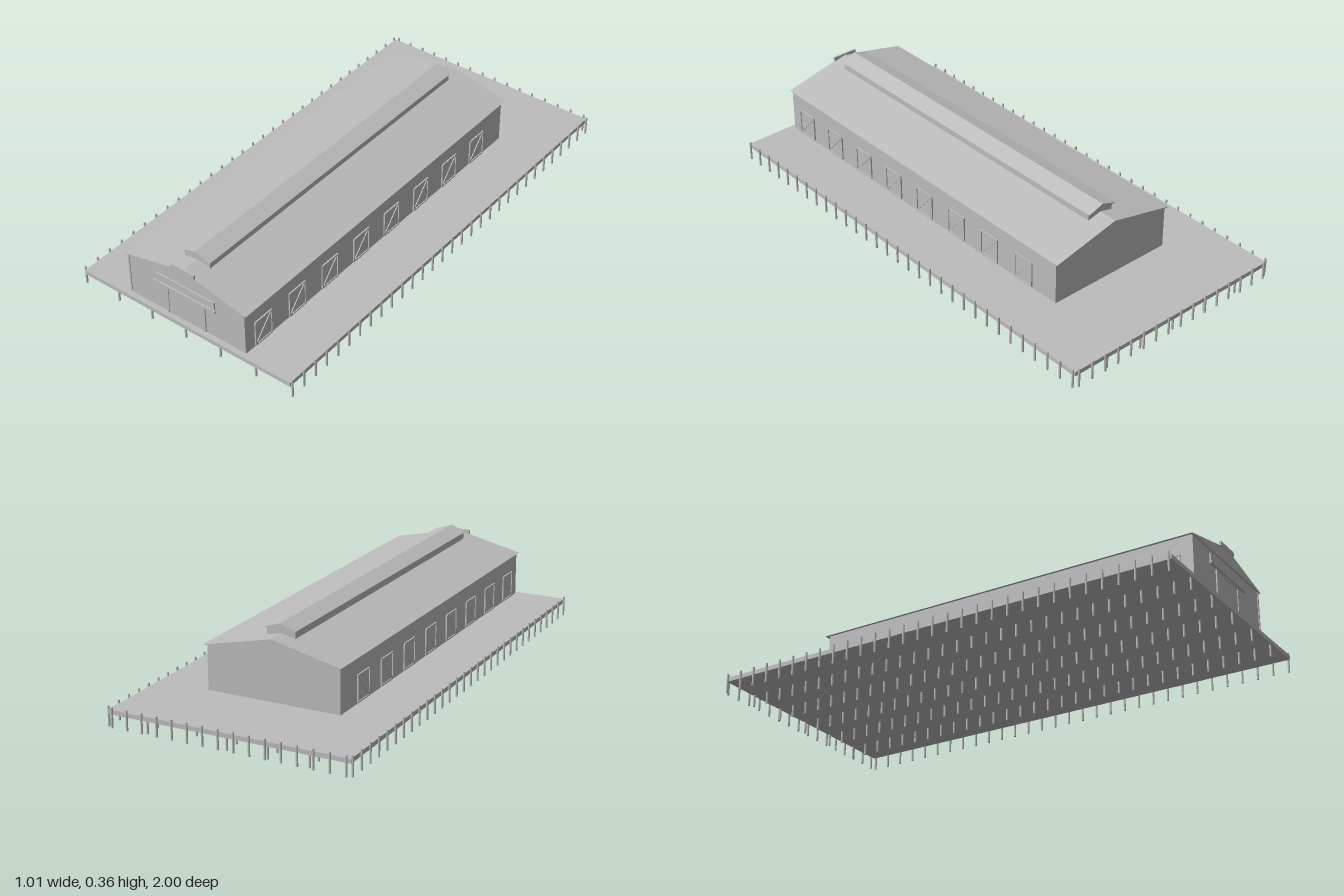
import * as THREE from 'three';
import { mergeGeometries } from 'three/addons/utils/BufferGeometryUtils.js';

export function createModel() {
  const model = new THREE.Group();
  model.name = 'pierShed';
  const grey = new THREE.MeshStandardMaterial({ color: 0xbcbcbc });
  grey.name = 'plain grey';

  const add = (name, geometry, parent = model) => {
    const mesh = new THREE.Mesh(geometry, grey);
    mesh.name = name;
    parent.add(mesh);
    return mesh;
  };
  // Box given by its limits on each axis
  const box = (x0, x1, y0, y1, z0, z1) =>
    new THREE.BoxGeometry(x1 - x0, y1 - y0, z1 - z0)
      .translate((x0 + x1) / 2, (y0 + y1) / 2, (z0 + z1) / 2);
  // Solid gable roof running along z
  const gable = (half, eave, ridge, z0, z1) => {
    const s = new THREE.Shape();
    s.moveTo(-half, eave);
    s.lineTo(half, eave);
    s.lineTo(0, ridge);
    s.closePath();
    return new THREE.ExtrudeGeometry(s, { depth: z1 - z0, bevelEnabled: false }).translate(0, 0, z0);
  };

  // Deck
  const deckTop = 0.068;
  add('deck', box(-0.498, 0.498, 0.05, deckTop, -0.992, 0.995));

  // Piles: inner rows stop under the deck, edge piles rise past it
  const pile = (x, z, top) =>
    new THREE.CylinderGeometry(0.0045, 0.0045, top, 8).translate(x, top / 2, z);
  const inner = [], edge = [];
  for (let i = 0; i < 31; i++) {
    const z = 0.986 - i * 0.0657;
    for (let c = -2; c <= 2; c++) inner.push(pile(c * 0.167, z, 0.051));
    for (const s of [-1, 1]) edge.push(pile(s * 0.502, z, 0.08));
  }
  for (let i = 0; i < 16; i++) edge.push(pile(-0.482 + i * 0.0642, -0.9955, 0.08));
  add('innerPiles', mergeGeometries(inner));
  add('edgePiles', mergeGeometries(edge));

  // Shed walls and roof
  const wallX = 0.28, front = 0.972, back = -0.655;
  add('walls', box(-wallX, wallX, deckTop, 0.252, back, front));
  add('mainRoof', gable(0.29, 0.252, 0.318, -0.67, 0.98));

  // Raised ridge monitor
  add('monitorWalls', box(-0.06, 0.06, 0.29, 0.336, -0.59, 0.9));
  add('monitorRoof', gable(0.067, 0.336, 0.359, -0.602, 0.908));

  // Corner trim on the front wall
  for (const s of [-1, 1])
    add('cornerTrim', box(s * 0.276 - 0.004, s * 0.276 + 0.004, 0.075, 0.25, front, front + 0.003));

  // Front door: frame, leaves and sliding rail
  const door = new THREE.Group();
  door.name = 'frontDoor';
  model.add(door);
  add('doorLeaves', box(-0.086, 0.086, deckTop, 0.186, front, front + 0.002), door);
  add('doorLintel', box(-0.092, 0.092, 0.184, 0.19, front, front + 0.005), door);
  for (const s of [-1, 1])
    add('doorPost', box(s * 0.088 - 0.004, s * 0.088 + 0.004, deckTop, 0.184, front, front + 0.005), door);

  // Blank boards above the door and on the gable
  add('frontBoard', box(-0.14, 0.14, 0.194, 0.236, front, front + 0.006));
  add('frontBoardLedge', box(-0.147, 0.147, 0.193, 0.203, front + 0.004, front + 0.012));
  add('gableBoard', box(-0.055, 0.055, 0.306, 0.324, 0.975, 0.983));

  // Braced sliding doors along both sides
  const low = 0.075, high = 0.18, halfW = 0.046, t = 0.003;
  for (const s of [-1, 1]) {
    const x0 = s > 0 ? wallX : -wallX - 0.006, x1 = x0 + 0.006;
    for (let i = 0; i < 8; i++) {
      const z = 0.875 - i * 0.1935;
      const sideDoor = new THREE.Group();
      sideDoor.name = 'sideDoor';
      model.add(sideDoor);
      const panelX = s * (wallX + 0.001);
      add('panel', box(panelX - 0.001, panelX + 0.001, low, high, z - halfW, z + halfW), sideDoor);
      for (const e of [-1, 1])
        add('stile', box(x0, x1, low, high, z + e * halfW - t, z + e * halfW + t), sideDoor);
      for (const y of [low, high])
        add('rail', box(x0, x1, y - t, y + t, z - halfW, z + halfW), sideDoor);
      // Diagonal brace, high end towards the back
      const length = Math.hypot(2 * halfW, high - low);
      const brace = add('brace', new THREE.BoxGeometry(0.005, 2 * t, length), sideDoor);
      brace.position.set((x0 + x1) / 2, (low + high) / 2, z);
      brace.rotation.x = Math.atan2(high - low, 2 * halfW);
    }
  }
  return model;
}
